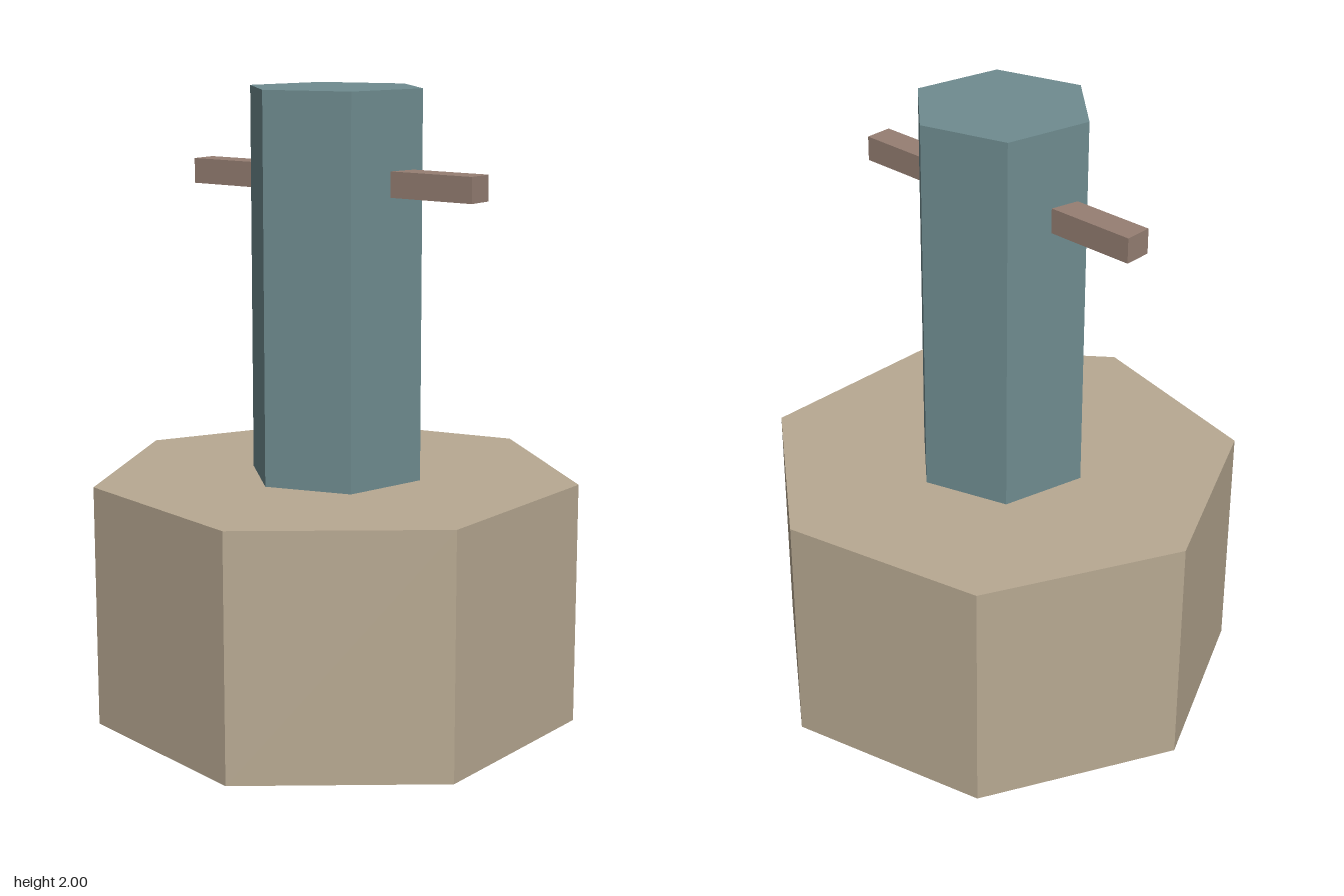
import * as THREE from 'three';

const CENTER_Z = 0.036;

function addPart(group, name, geometry, color, y) {
  const material = new THREE.MeshStandardMaterial({ color, flatShading: true });
  const mesh = new THREE.Mesh(geometry, material);
  mesh.name = name;
  mesh.position.set(0, y, CENTER_Z);
  group.add(mesh);
  return mesh;
}

// Upright prism with one corner pointing to the back
function prism(radius, height, sides) {
  return new THREE.CylinderGeometry(radius, radius, height, sides, 1, false, Math.PI);
}

export function createModel() {
  const group = new THREE.Group();
  group.name = 'postOnBase';

  // Seven-sided base block
  addPart(group, 'base', prism(0.776, 0.776, 7), 0xb8a992, 0.388);

  // Six-sided post standing on the base
  addPart(group, 'post', prism(0.284, 1.224, 6), 0x6f8c90, 1.388);

  // Slanted crossbar running through the post
  const bar = addPart(group, 'crossbar', new THREE.BoxGeometry(1.07, 0.08, 0.09), 0x967f73, 1.716);
  bar.rotation.y = 0.239;

  return group;
}
